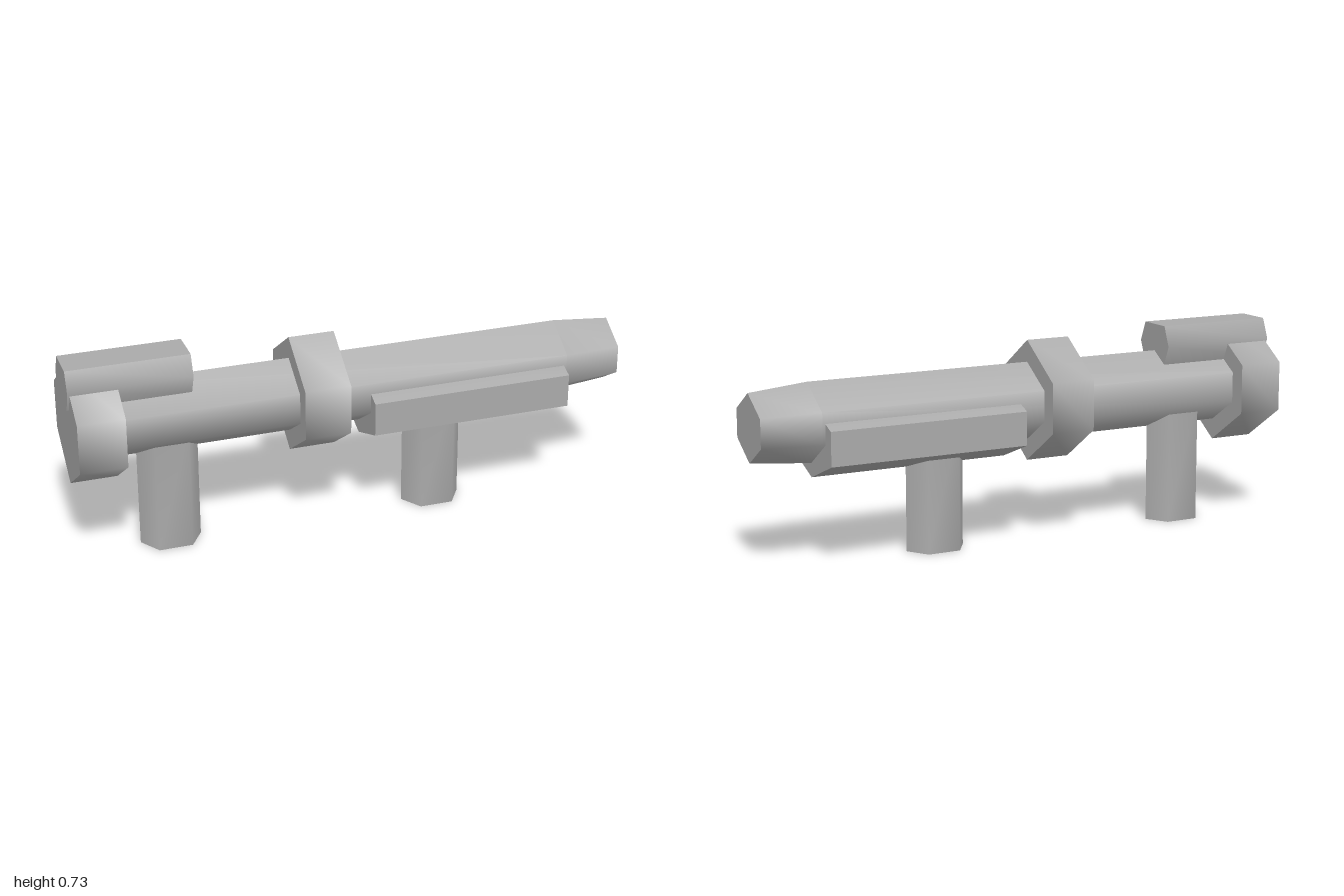
import * as THREE from 'three';
import { toCreasedNormals } from 'three/addons/utils/BufferGeometryUtils.js';

// Six-sided bar along z. Each station is [z, point height, half width, half flat].
function hexBar(stations) {
  const rings = stations.map(([t, p, w, f]) =>
    [[0, p], [-w, f], [-w, -f], [0, -p], [w, -f], [w, f]].map(([x, y]) => [x, y, t]));
  const pos = [];
  const tri = (...pts) => pts.forEach((p) => pos.push(...p));
  for (let s = 0; s < rings.length - 1; s++) {
    const a = rings[s], b = rings[s + 1];
    for (let i = 0; i < 6; i++) {
      const j = (i + 1) % 6;
      tri(a[i], a[j], b[j]);
      tri(a[i], b[j], b[i]);
    }
  }
  const first = rings[0], last = rings[rings.length - 1];
  for (let i = 1; i < 5; i++) {
    tri(first[0], first[i + 1], first[i]);
    tri(last[0], last[i], last[i + 1]);
  }
  const g = new THREE.BufferGeometry();
  g.setAttribute('position', new THREE.Float32BufferAttribute(pos, 3));
  return g;
}

export function createModel() {
  const group = new THREE.Group();
  const grey = new THREE.MeshStandardMaterial({ color: 0xaaaaaa });
  grey.name = 'grey';

  const add = (name, geometry, x, y) => {
    const mesh = new THREE.Mesh(toCreasedNormals(geometry, Math.PI / 3), grey);
    mesh.name = name;
    mesh.position.set(x, y, 0);
    group.add(mesh);
  };
  const alongX = (stations) => hexBar(stations).rotateY(Math.PI / 2);

  // Long barrel with a tapered muzzle
  add('barrel', alongX([
    [-0.95, 0.139, 0.128, 0.055],
    [0.79, 0.139, 0.128, 0.055],
    [1, 0.119, 0.11, 0.05],
  ]), 0, 0.491);

  // Collars at the tail and middle
  for (const [name, x] of [['tailCollar', -0.91], ['middleCollar', -0.125]]) {
    add(name, alongX([[-0.082, 0.216, 0.188, 0.089], [0.082, 0.216, 0.188, 0.089]]), x, 0.492);
  }

  // Broad fore-end under the barrel
  add('foreEnd', alongX([[0.05, 0.128, 0.174, 0.06], [0.78, 0.128, 0.174, 0.06]]), 0, 0.43);

  // Sight on top, turned so a flat side faces up
  const sight = hexBar([[-1, 0.095, 0.072, 0.065], [-0.57, 0.095, 0.072, 0.065]]);
  add('sight', sight.rotateZ(Math.PI / 2).rotateY(Math.PI / 2), 0, 0.655);

  // Upright grips
  for (const [name, x] of [['rearGrip', -0.65], ['frontGrip', 0.323]]) {
    const grip = alongX([[0, 0.109, 0.077, 0.06], [0.45, 0.109, 0.077, 0.06]]);
    add(name, grip.rotateZ(Math.PI / 2), x, 0);
  }

  return group;
}
